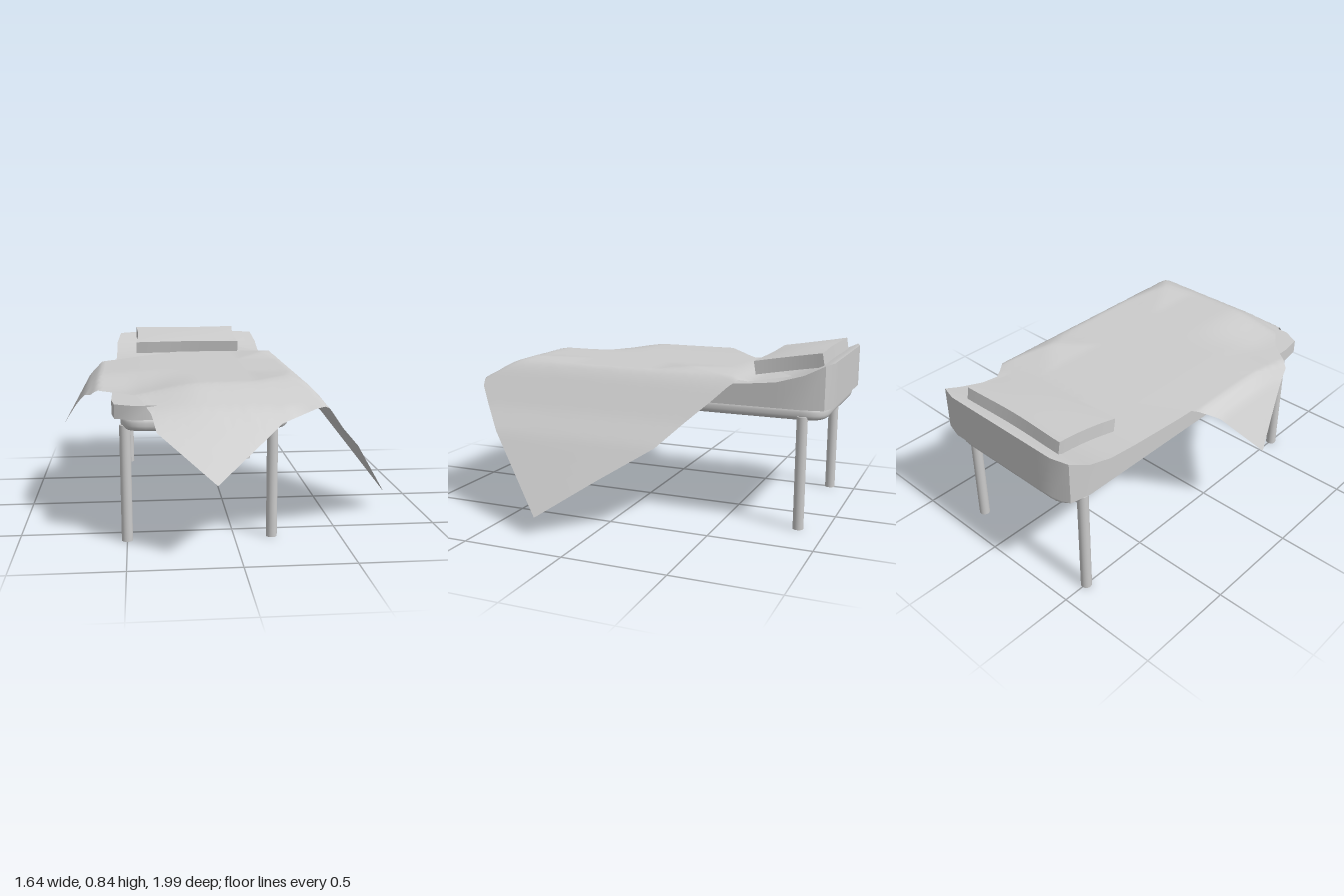
import * as THREE from 'three';
import { toCreasedNormals } from 'three/addons/utils/BufferGeometryUtils.js';

const grey = new THREE.MeshStandardMaterial({ color: 0xcccccc });
const cloth = new THREE.MeshStandardMaterial({ color: 0xcccccc, side: THREE.DoubleSide });
const BED_X = -0.135;

function add(parent, name, geometry, material = grey) {
  const mesh = new THREE.Mesh(geometry, material);
  mesh.name = name;
  parent.add(mesh);
  return mesh;
}

// Moves every vertex of a geometry by a rule
function reshape(geometry, rule) {
  const p = geometry.attributes.position, uv = geometry.attributes.uv;
  for (let i = 0; i < p.count; i++) {
    const [x, y, z] = rule(p.getX(i), p.getY(i), p.getZ(i), uv.getX(i), uv.getY(i));
    p.setXYZ(i, x, y, z);
  }
  geometry.computeVertexNormals();
  return geometry;
}

// Piecewise linear lookup in a list of [position, value]
function lookup(table, t) {
  for (let i = 1; i < table.length; i++) {
    const [a, va] = table[i - 1], [b, vb] = table[i];
    if (t <= b || i === table.length - 1) {
      return va + (vb - va) * Math.max(0, (t - a) / (b - a));
    }
  }
}

// Point on a polyline, with its points evenly spaced in t
function along(points, t) {
  const s = t * (points.length - 1);
  const i = Math.min(Math.floor(s), points.length - 2);
  return [0, 1].map(k => points[i][k] + (points[i + 1][k] - points[i][k]) * (s - i));
}

// Mattress: cross-sections [z, half width, top height], rising at the head
function mattress() {
  const rows = [
    [-1, 0.32, 0.8], [-0.975, 0.405, 0.797], [-0.88, 0.425, 0.75], [-0.75, 0.425, 0.711],
    [-0.6, 0.425, 0.695], [-0.3, 0.425, 0.675], [0, 0.425, 0.665], [0.3, 0.425, 0.66],
    [0.56, 0.425, 0.655], [0.665, 0.41, 0.655], [0.71, 0.325, 0.655],
  ];
  const n = rows.length - 1;
  const geo = reshape(new THREE.BoxGeometry(2, 1, 1, 8, 1, n), (x, y, z) => {
    const [rz, half, top] = rows[Math.round((z + 0.5) * n)];
    return [BED_X + x * half, y > 0 ? top : 0.59, rz];
  });
  return toCreasedNormals(geo, 0.6);
}

// Bed base: rounded slab with a soft edge
function base() {
  const bevel = 0.025, w = 0.385 - bevel, l = 0.83 - bevel, r = 0.09;
  const s = new THREE.Shape();
  s.moveTo(-w + r, -l);
  s.lineTo(w - r, -l).quadraticCurveTo(w, -l, w, -l + r);
  s.lineTo(w, l - r).quadraticCurveTo(w, l, w - r, l);
  s.lineTo(-w + r, l).quadraticCurveTo(-w, l, -w, l - r);
  s.lineTo(-w, -l + r).quadraticCurveTo(-w, -l, -w + r, -l);
  const geo = new THREE.ExtrudeGeometry(s, {
    depth: 0.015, bevelSize: bevel, bevelThickness: bevel, bevelSegments: 4, curveSegments: 6,
  });
  geo.rotateX(-Math.PI / 2).translate(BED_X, 0.53 + bevel, -0.145);
  return toCreasedNormals(geo, 0.7);
}

// Pillow: box with pinched sides and a slightly full top
function pillow() {
  const w = 0.2975, d = 0.1675;
  const geo = reshape(new THREE.BoxGeometry(2, 1, 2, 16, 2, 12), (x, y, z) => {
    const bx = 1 - x * x, bz = 1 - z * z;
    return [
      x * w * (1 - 0.035 * bz),
      y * (0.066 + 0.012 * bx * bz),
      z * d * (1 - 0.07 * bx * bx),
    ];
  });
  return toCreasedNormals(geo, 0.7);
}

// Blanket outline in [x, z], one list per side of the cloth
const headToLeft = [[0.18, -0.8], [0.33, -0.6], [0.42, -0.48], [0.49, -0.38], [0.59, -0.27], [0.7, -0.02], [0.82, 0.24]];
const rightToFoot = [[-0.82, 0.02], [-0.7, 0.31], [-0.66, 0.41], [-0.52, 0.52], [-0.42, 0.66], [-0.36, 0.83], [-0.11, 0.99]];
const headToRight = [[0.18, -0.8], [-0.1, -0.61], [-0.37, -0.41], [-0.63, -0.25], [-0.82, 0.02]];
const leftToFoot = [[0.82, 0.24], [0.59, 0.58], [0.43, 0.75], [0.19, 0.81], [-0.11, 0.99]];

// Blanket fall across the bed and along it
const across = [[-0.82, 0.44], [-0.69, 0.665], [-0.63, 0.72], [-0.4, 0.73], [0.1, 0.737],
  [0.26, 0.755], [0.33, 0.73], [0.37, 0.69], [0.49, 0.53], [0.59, 0.42], [0.82, 0.09]];
const lengthwise = [[-0.8, 0.725], [-0.62, 0.71], [-0.56, 0.73], [-0.33, 0.755], [-0.16, 0.737],
  [0.28, 0.737], [0.54, 0.755], [0.62, 0.73], [0.77, 0.64], [0.82, 0.57], [0.99, 0.36]];

function drape(x, z) {
  const ramp = t => THREE.MathUtils.smoothstep(t, 0, 1);
  const sag = 0.045 * ramp((-x - 0.15) / 0.35) * ramp((z - 0.15) / 0.35) * ramp((0.85 - z) / 0.2);
  return Math.min(lookup(across, x), lookup(lengthwise, z)) - sag * ramp((x + 0.82) / 0.15);
}

function blanket() {
  const corners = [headToLeft[0], headToLeft[6], rightToFoot[0], rightToFoot[6]];
  return reshape(new THREE.PlaneGeometry(1, 1, 48, 48), (px, py, pz, v, u) => {
    const a = along(headToLeft, u), b = along(rightToFoot, u);
    const c = along(headToRight, v), d = along(leftToFoot, v);
    const [x, z] = [0, 1].map(k =>
      (1 - v) * a[k] + v * b[k] + (1 - u) * c[k] + u * d[k]
      - (1 - u) * (1 - v) * corners[0][k] - u * (1 - v) * corners[1][k]
      - (1 - u) * v * corners[2][k] - u * v * corners[3][k]);
    return [x, drape(x, z), z];
  });
}

export function createModel() {
  const bed = new THREE.Group();
  bed.name = 'bed';

  add(bed, 'base', base());
  add(bed, 'mattress', mattress());
  add(bed, 'blanket', blanket(), cloth);

  const cushion = add(bed, 'pillow', pillow());
  cushion.position.set(-0.147, 0.777, -0.773);
  cushion.rotation.x = 0.17;

  // Legs
  const legs = { footRightLeg: [-0.5, 0.61], footLeftLeg: [0.177, 0.61], headRightLeg: [-0.5, -0.868], headLeftLeg: [0.237, -0.868] };
  for (const [name, [x, z]] of Object.entries(legs)) {
    add(bed, name, new THREE.CylinderGeometry(0.026, 0.026, 0.55, 16)).position.set(x, 0.275, z);
  }
  return bed;
}
